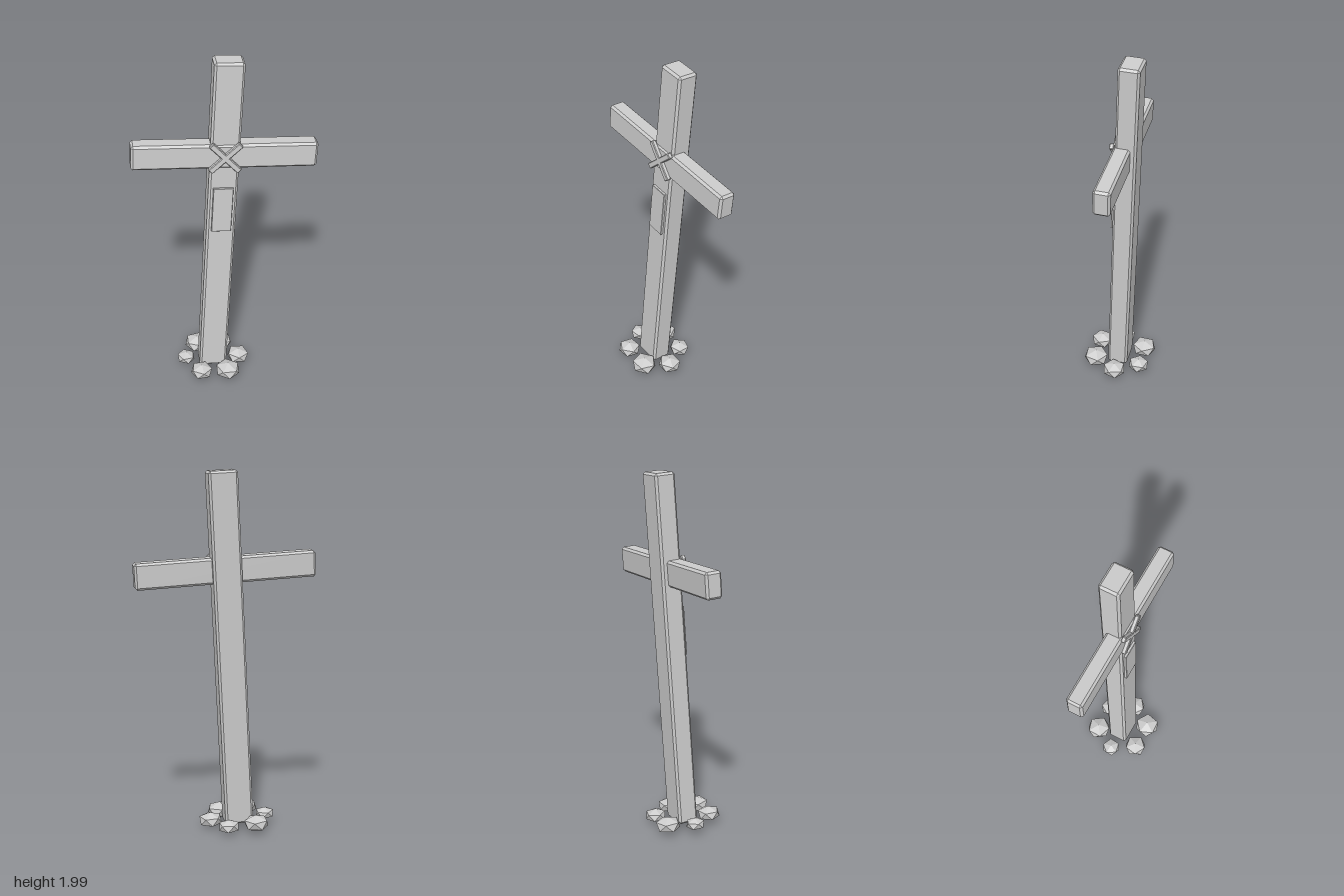
import * as THREE from 'three';
import { ConvexGeometry } from 'three/addons/geometries/ConvexGeometry.js';

const stone = new THREE.MeshStandardMaterial({ color: 0xcccccc, flatShading: true });
stone.name = 'grey stone';

// Box with all edges cut off by c
function chamferedBox(w, h, d, c) {
  const half = [w / 2, h / 2, d / 2];
  const points = [];
  for (const sx of [-1, 1]) for (const sy of [-1, 1]) for (const sz of [-1, 1]) {
    const s = [sx, sy, sz];
    for (let full = 0; full < 3; full++) {
      points.push(new THREE.Vector3(...s.map((v, i) => v * (half[i] - (i === full ? 0 : c)))));
    }
  }
  return new ConvexGeometry(points);
}

// Squashed icosahedron standing on one of its points
function rockGeometry(r) {
  const g = new THREE.IcosahedronGeometry(r, 0);
  g.rotateX(-Math.atan2((1 + Math.sqrt(5)) / 2, 1));
  g.scale(1, 0.62, 1);
  return g;
}

export function createModel() {
  const model = new THREE.Group();
  model.name = 'leaningCross';

  // Everything leans together, to the side and backwards
  const lean = new THREE.Group();
  lean.name = 'leaningParts';
  lean.position.set(-0.085, 0.035, 0.003);
  lean.rotation.set(-0.0435, 0, -0.0573);
  model.add(lean);

  function add(name, geometry, x, y, z) {
    const mesh = new THREE.Mesh(geometry, stone);
    mesh.name = name;
    mesh.position.set(x, y, z);
    lean.add(mesh);
    return mesh;
  }

  // Post and crossbar
  add('post', chamferedBox(0.158, 1.96, 0.115, 0.012), 0, 0.98, 0);
  add('crossbar', chamferedBox(0.988, 0.142, 0.092, 0.012), 0, 1.432, 0.02);

  // Crossed binding over the joint
  for (const side of [-1, 1]) {
    const strap = add(side < 0 ? 'bindingRight' : 'bindingLeft',
      chamferedBox(0.032, 0.222, 0.024, 0.004), 0, 1.432, 0.074);
    strap.rotation.z = side * Math.PI / 4;
  }

  // Plaque on the front of the post
  add('plaque', chamferedBox(0.108, 0.272, 0.016, 0.002), 0, 1.105, 0.063);

  // Ring of rocks around the foot
  const radii = [0.069, 0.076, 0.067, 0.056, 0.074, 0.062];
  radii.forEach((r, i) => {
    const a = i * Math.PI / 3;
    const rock = add('rock' + (i + 1), rockGeometry(r), Math.cos(a) * 0.156, 0.025, Math.sin(a) * 0.15);
    rock.rotation.y = i * 0.7;
  });

  return model;
}
